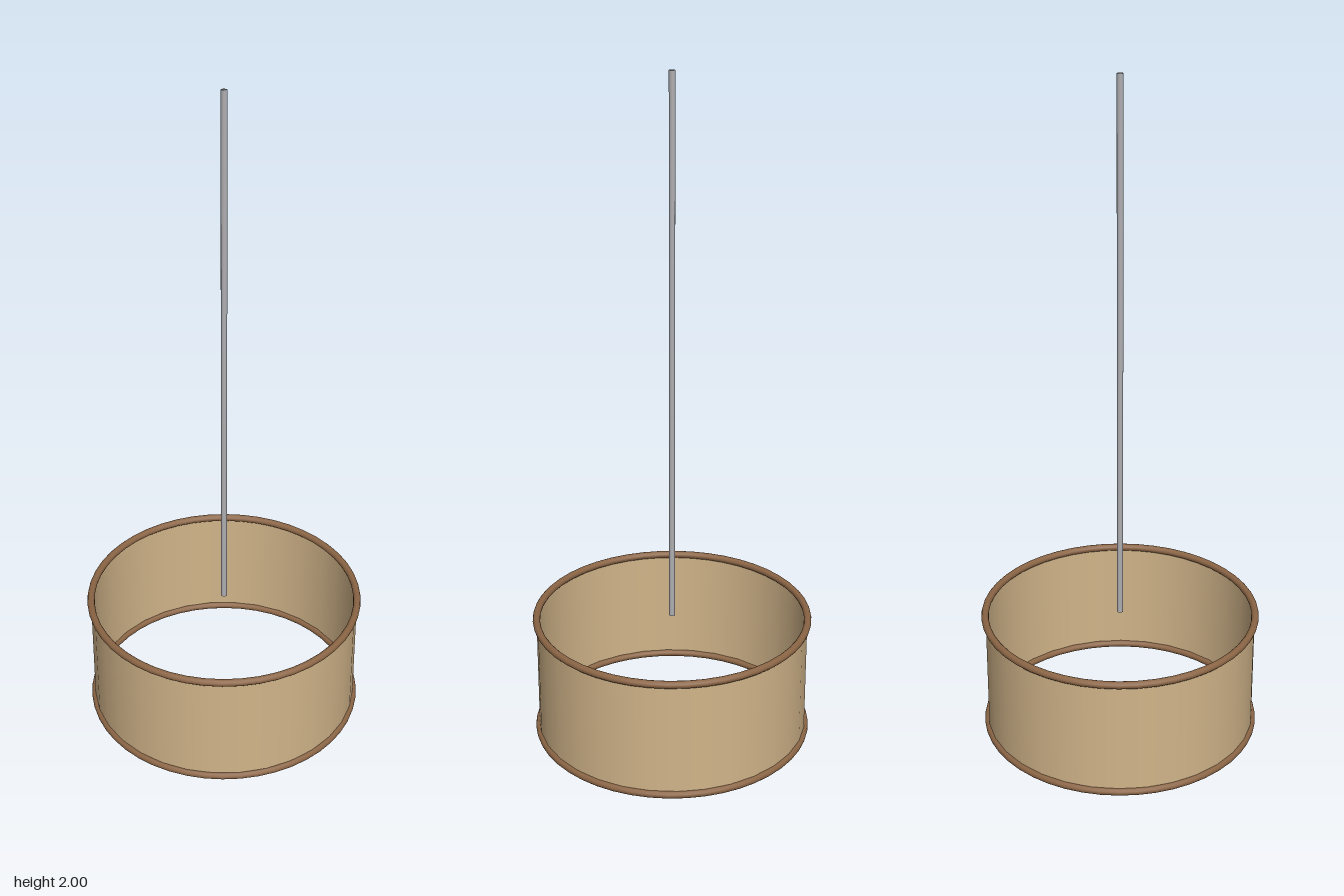
import * as THREE from 'three';
import { mergeVertices } from 'three/addons/utils/BufferGeometryUtils.js';

const RADIUS = 0.406, TUBE = 0.011, RING_TOP = 0.372, CORD_TOP = 2;

function material(name, color, side = THREE.FrontSide) {
  return new THREE.MeshStandardMaterial({ name, color, side });
}

function addMesh(group, name, geometry, mat, y) {
  const mesh = new THREE.Mesh(geometry, mat);
  mesh.name = name;
  mesh.position.y = y;
  group.add(mesh);
}

// Joins the caps to the wall so that shading rolls over the ends
function smoothEnds(geometry) {
  geometry.deleteAttribute('normal');
  geometry.deleteAttribute('uv');
  const merged = mergeVertices(geometry);
  merged.computeVertexNormals();
  return merged;
}

export function createModel() {
  const model = new THREE.Group();
  model.name = 'pendantLamp';
  const fabric = material('tan fabric', 0xd2b58a, THREE.DoubleSide);
  const trim = material('brown trim', 0x8b6545);
  const metal = material('grey cord', 0xb0b0b4);

  // Open drum shade
  const height = RING_TOP - TUBE;
  addMesh(model, 'shade', new THREE.CylinderGeometry(RADIUS, RADIUS, height, 32, 1, true),
    fabric, TUBE + height / 2);

  // Rolled trim rings along both rims
  const ring = new THREE.TorusGeometry(RADIUS, TUBE, 12, 48).rotateX(Math.PI / 2);
  addMesh(model, 'bottomRing', ring, trim, TUBE);
  addMesh(model, 'topRing', ring, trim, RING_TOP);

  // Hanging cord, ending level with the top rim
  const length = CORD_TOP - RING_TOP;
  addMesh(model, 'cord', smoothEnds(new THREE.CylinderGeometry(0.009, 0.009, length, 12)),
    metal, RING_TOP + length / 2);

  return model;
}
